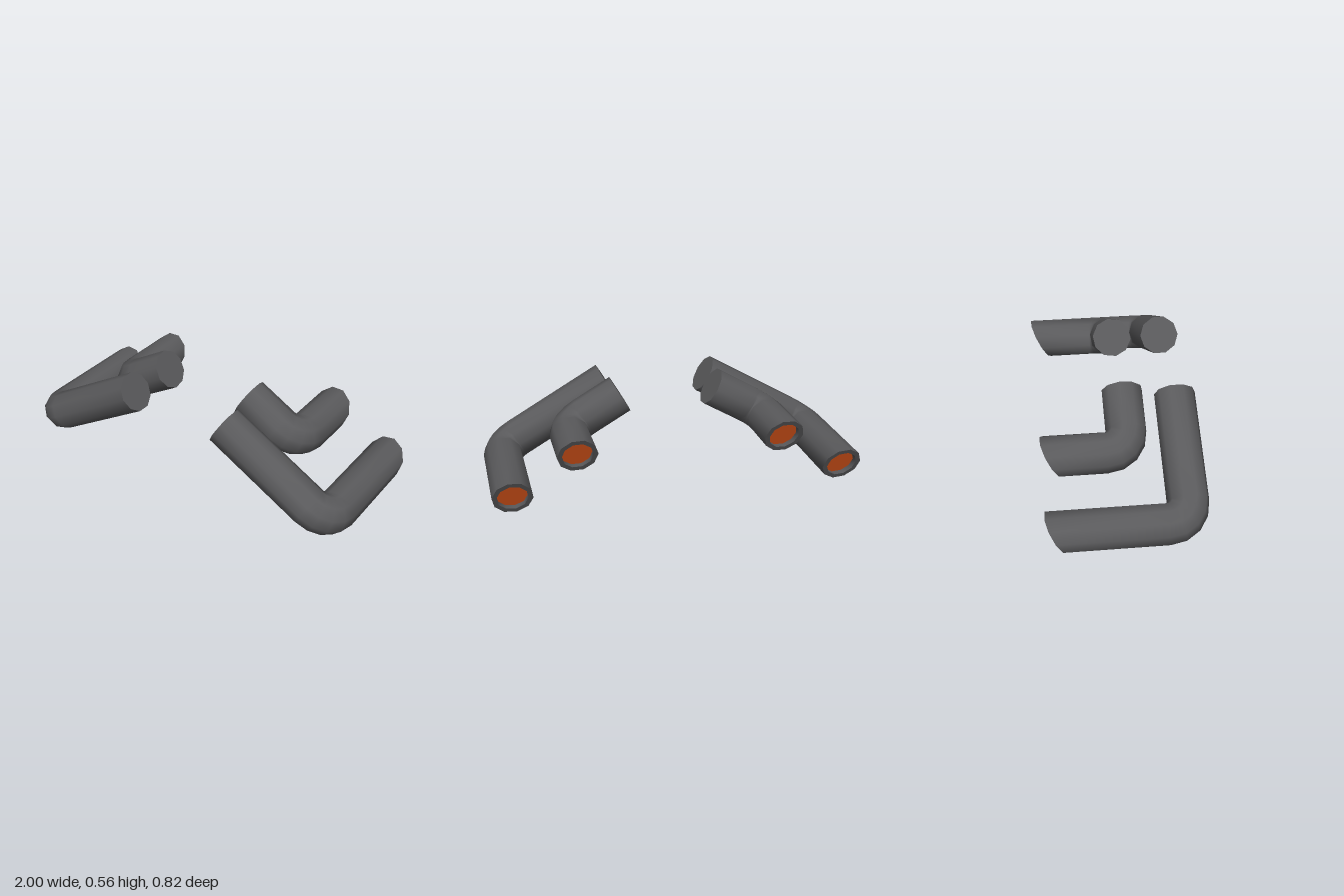
import * as THREE from 'three';

const SIDES = 10, RADIUS = 0.107, HOLE = 0.082, BEND = 0.11, RECESS = 0.04;
const TILT = Math.PI / 6;
const U = new THREE.Vector3(Math.cos(TILT), -Math.sin(TILT), 0); // outward and down
const N = new THREE.Vector3(Math.sin(TILT), Math.cos(TILT), 0);  // across the sloping plane
const Z = new THREE.Vector3(0, 0, 1);

// Skin a list of rings; flip mirrors it to the other side
function loft(rings, flip) {
  const pos = [], idx = [];
  for (const ring of rings) for (const p of ring) pos.push(flip ? -p.x : p.x, p.y, p.z);
  const tri = (a, b, c) => (flip ? idx.push(a, c, b) : idx.push(a, b, c));
  for (let i = 0; i < rings.length - 1; i++) {
    for (let j = 0; j < SIDES; j++) {
      const k = (j + 1) % SIDES, a = i * SIDES, b = a + SIDES;
      tri(a + j, b + j, a + k);
      tri(b + j, b + k, a + k);
    }
  }
  const g = new THREE.BufferGeometry();
  g.setAttribute('position', new THREE.Float32BufferAttribute(pos, 3));
  g.setIndex(idx);
  g.computeVertexNormals();
  return g;
}

// Ring round a centre, with its first axis along m and its second along N
function makeRing(center, m, r, phase) {
  return Array.from({ length: SIDES }, (_, j) => {
    const a = phase + (j / SIDES) * Math.PI * 2;
    return center.clone().addScaledVector(m, r * Math.cos(a)).addScaledVector(N, r * Math.sin(a));
  });
}

function makePipe(name, start, length, phase, flip, metal, glow) {
  const group = new THREE.Group();
  group.name = name;
  const add = (part, rings, material) => {
    const mesh = new THREE.Mesh(loft(rings, flip), material);
    mesh.name = part;
    group.add(mesh);
  };

  // Straight run, then a quarter bend
  const pivot = start.clone().addScaledVector(U, length - BEND).addScaledVector(Z, -BEND);
  const body = [makeRing(start, Z, RADIUS, phase)];
  for (let i = 0; i <= 4; i++) {
    const t = (i / 4) * Math.PI / 2;
    const m = Z.clone().multiplyScalar(Math.cos(t)).addScaledVector(U, Math.sin(t));
    body.push(makeRing(pivot.clone().addScaledVector(m, BEND), m, RADIUS, phase));
  }

  // Slanted rear end, the top reaching further back
  const arm = start.clone().addScaledVector(U, length);
  const cut = (r, depth) => makeRing(arm, U, r, phase).map((p) =>
    p.setZ(-0.358 - 0.515 * (p.y - arm.y) + depth));
  const outer = cut(RADIUS, 0), lip = cut(HOLE, 0), floor = cut(HOLE, RECESS);
  body.push(outer);

  add('pipeBody', body, metal);
  add('innerEndCap', [makeRing(start, Z, 0, phase), body[0]], metal);
  add('rearRim', [outer, lip], metal);
  add('rearInnerWall', [lip, floor], metal);
  add('glowingCore', [floor, cut(0, RECESS)], glow);
  return group;
}

export function createModel() {
  const metal = new THREE.MeshStandardMaterial({ color: 0x5a5a5c });
  metal.name = 'darkGrey';
  const glow = new THREE.MeshStandardMaterial({ color: 0xe85a1c });
  glow.name = 'orange';

  const model = new THREE.Group();
  model.name = 'exhaustPipes';
  for (const flip of [false, true]) {
    const side = flip ? 'right' : 'left';
    model.add(makePipe(side + 'LongPipe', new THREE.Vector3(0.285, 0.456, 0.305),
      0.702, 0, flip, metal, glow));
    model.add(makePipe(side + 'ShortPipe', new THREE.Vector3(0.257, 0.474, 0.032),
      0.342, -Math.PI / 24, flip, metal, glow));
  }
  return model;
}
